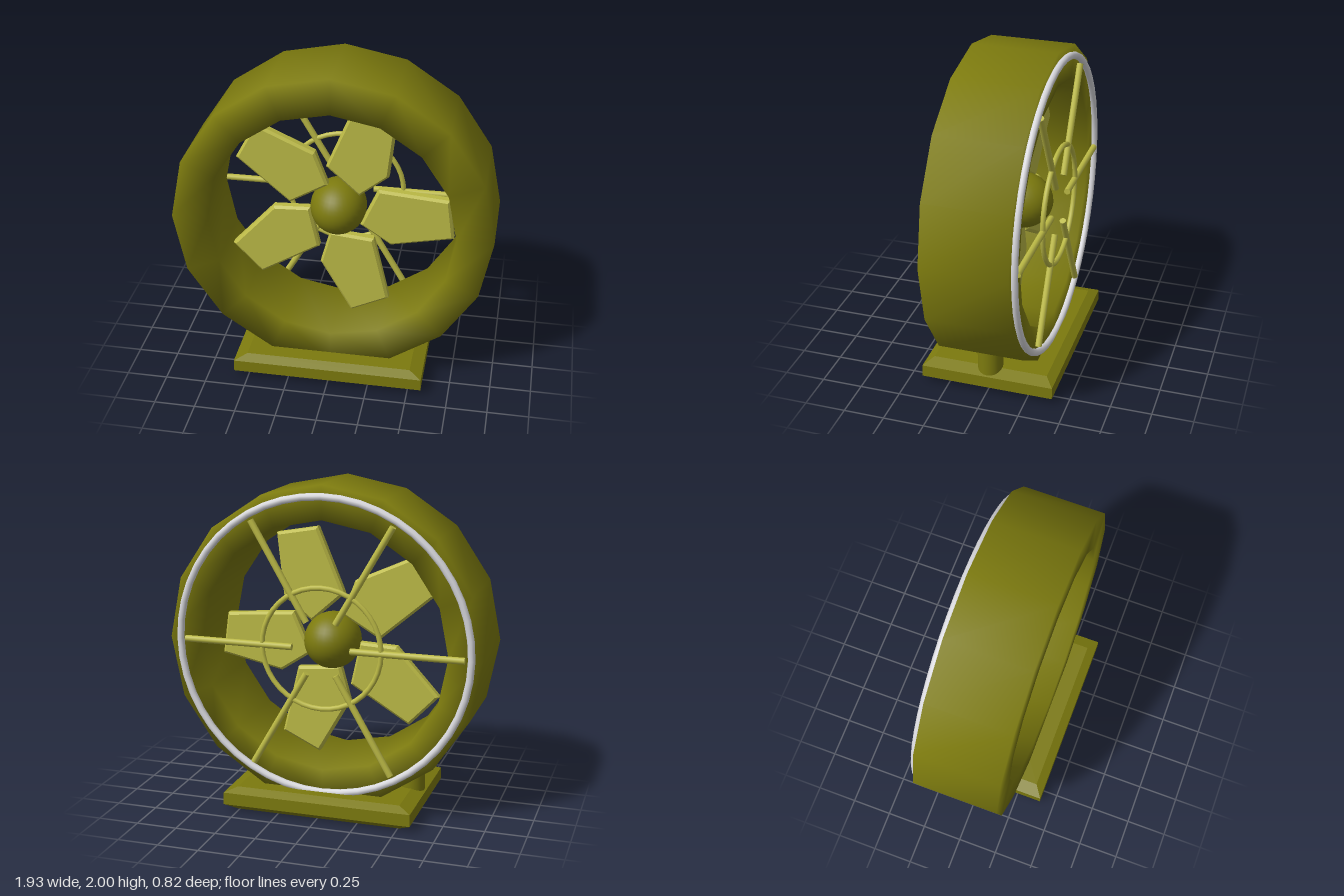
import * as THREE from 'three';
import { mergeVertices, toCreasedNormals } from 'three/addons/utils/BufferGeometryUtils.js';

const CENTRE_Y = 1.035;

function material(name, color) {
  const m = new THREE.MeshStandardMaterial({ color });
  m.name = name;
  return m;
}

function addMesh(parent, name, geometry, mat) {
  const mesh = new THREE.Mesh(geometry, mat);
  mesh.name = name;
  parent.add(mesh);
  return mesh;
}

const points = (list) => list.map(([x, y]) => new THREE.Vector2(x, y));

export function createModel() {
  const olive = material('olive', 0x7c7a0e);
  const yellow = material('pale yellow', 0xbcba46);
  const white = material('off white', 0xd8d8dc);

  const model = new THREE.Group();
  model.name = 'deskFan';

  // Fan head: everything centred on the horizontal axis
  const head = new THREE.Group();
  head.name = 'fanHead';
  head.position.y = CENTRE_Y;
  model.add(head);

  // Sixteen-sided housing, closed profile with soft shared normals
  let housing = new THREE.LatheGeometry(points([
    [0.76, -0.26], [0.965, -0.26], [0.965, 0.26], [0.745, 0.26], [0.76, -0.26],
  ]), 16);
  housing.deleteAttribute('uv');
  housing.deleteAttribute('normal');
  housing = mergeVertices(housing, 1e-4);
  housing.computeVertexNormals();
  housing.rotateX(Math.PI / 2);
  addMesh(head, 'housing', housing, olive);

  // Hub
  const hub = addMesh(head, 'hub', new THREE.SphereGeometry(0.172, 32, 20), olive);
  hub.scale.z = 1.15;
  hub.position.z = -0.04;

  // Five flat bevelled blades
  const bladeGeometry = new THREE.ExtrudeGeometry(new THREE.Shape(points([
    [0.14, -0.095], [0.33, -0.22], [0.715, -0.14], [0.68, 0.12], [0.25, 0.155],
  ])), { depth: 0.04, bevelThickness: 0.015, bevelSize: 0.015, bevelOffset: -0.015, bevelSegments: 1 });
  bladeGeometry.translate(0, 0, -0.035);
  for (let i = 0; i < 5; i++) {
    addMesh(head, 'blade', bladeGeometry, yellow).rotation.z = (i * Math.PI * 2) / 5;
  }

  // Rear guard: outer ring, inner ring and six spokes
  const guard = new THREE.Group();
  guard.name = 'rearGuard';
  guard.position.z = -0.28;
  head.add(guard);
  addMesh(guard, 'guardOuterRing', new THREE.TorusGeometry(0.897, 0.022, 10, 48), white)
    .position.z = 0.008;
  addMesh(guard, 'guardInnerRing', new THREE.TorusGeometry(0.367, 0.016, 8, 40), yellow);
  const spokeGeometry = new THREE.CylinderGeometry(0.02, 0.02, 0.68, 10);
  spokeGeometry.rotateZ(Math.PI / 2).translate(0.52, 0, 0);
  for (let i = 0; i < 6; i++) {
    addMesh(guard, 'guardSpoke', spokeGeometry, yellow).rotation.z = (i * Math.PI) / 3;
  }

  // Base plate: four-sided lathe stretched to a chamfered slab
  const r = Math.SQRT2;
  const base = new THREE.LatheGeometry(points([
    [0, 0], [0.87 * r, 0], [r, 0.04], [r, 0.115], [0.87 * r, 0.145], [0, 0.145],
  ]), 4);
  base.rotateY(Math.PI / 4).scale(0.585, 1, 0.41);
  addMesh(model, 'basePlate', toCreasedNormals(base, 0.3), olive);

  // Support posts between the base and the housing
  for (const side of [-1, 1]) {
    const post = addMesh(model, 'supportPost', new THREE.CylinderGeometry(0.077, 0.077, 0.22, 20), olive);
    post.position.set(side * 0.498, 0.22, 0);
  }

  return model;
}
